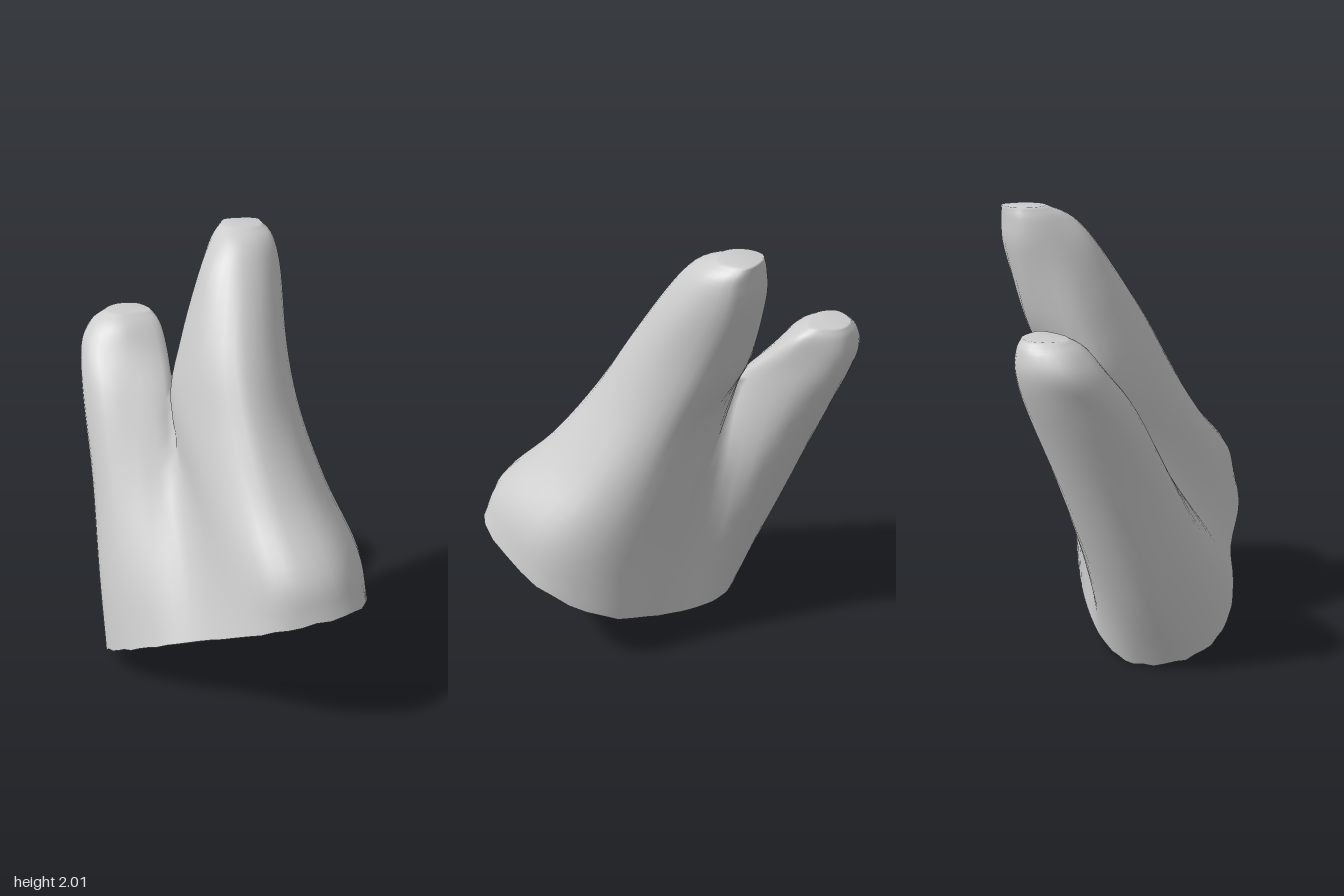
import * as THREE from 'three';
import { mergeVertices } from 'three/addons/utils/BufferGeometryUtils.js';

const SEG = 5;        // rows between two cross-sections
const COLS = 28;      // points around each lobe
const WALL = 0.035;   // thickness of the shell

// Section planes of the shared body: height and share of the rim's tilt
const BODY = [[0.158, 1], [0.5, 0.67], [0.88, 0.33]];
const FORK = BODY.length;   // section at which the body forks into two roots

// Cross-sections as x,z pairs. Body rows run from the front groove round the
// long root's side; root rows are closed loops starting at the fork.
const LONG = {
  tops: [1.22, 1.5, 1.8, 1.94, 2.0],
  rows: [
    [-.2, .47, -.01, .67, .2, .77, .45, .7, .6, .34, .5, .05, .25, -.11],
    [-.2, .29, -.04, .54, .15, .7, .4, .63, .565, .3, .48, .03, .22, -.15],
    [-.21, .03, -.1, .31, .1, .48, .32, .4, .45, .12, .38, -.1, .16, -.23],
    [-.2, -.27, -.16, .04, .05, .28, .25, .2, .355, -.02, .31, -.22, .1, -.31],
    [-.14, -.34, -.13, -.08, .03, .1, .2, .06, .31, -.12, .29, -.34, .08, -.45],
    [-.05, -.38, -.05, -.2, .07, -.1, .21, -.13, .31, -.28, .28, -.46, .07, -.515],
    [.01, -.42, .03, -.28, .1, -.22, .2, -.24, .285, -.34, .27, -.48, .09, -.52],
    [.06, -.44, .08, -.37, .13, -.34, .19, -.35, .235, -.4, .23, -.5, .1, -.51],
  ],
};
// Short root side: body rows from the back groove round to the front groove
const SHORT = {
  tops: [1.22, 1.4, 1.5, 1.55],
  rows: [
    [0, -.21, -.2, -.25, -.38, -.23, -.53, -.1, -.58, .06, -.51, .22, -.37, .35],
    [-.02, -.21, -.17, -.33, -.4, -.37, -.55, -.27, -.59, -.06, -.53, .08, -.38, .19],
    [-.06, -.25, -.16, -.44, -.38, -.54, -.55, -.46, -.59, -.27, -.54, -.12, -.39, -.04],
    [-.2, -.27, -.19, -.54, -.31, -.7, -.51, -.68, -.61, -.48, -.55, -.33, -.4, -.27],
    [-.21, -.44, -.22, -.62, -.3, -.75, -.46, -.765, -.59, -.64, -.56, -.48, -.39, -.41],
    [-.23, -.54, -.24, -.65, -.31, -.75, -.44, -.76, -.54, -.66, -.51, -.55, -.39, -.49],
    [-.27, -.6, -.27, -.66, -.32, -.73, -.41, -.73, -.47, -.66, -.45, -.6, -.39, -.57],
  ],
};

// x,z pairs to points on a plane of the given height and tilt
function toPoints(row, h, tilt) {
  const pts = [];
  for (let i = 0; i < row.length; i += 2) {
    const x = row[i], z = row[i + 1];
    pts.push(new THREE.Vector3(x, h + tilt * (0.174 * x + 0.449 * z), z));
  }
  return pts;
}

// Part of a smooth closed loop through the points
function sampleLoop(pts, from, to) {
  const curve = new THREE.CatmullRomCurve3(pts, true, 'catmullrom', 0.5);
  return Array.from({ length: COLS + 1 }, (_, i) =>
    curve.getPoint((from + (to - from) * i / COLS) % 1));
}

// Smooth grid of points [row][column] for one side of the body and its root
function lobeGrid(lobe, from) {
  const sections = lobe.rows.map((row, level) => {
    if (level >= FORK) return sampleLoop(toPoints(row, lobe.tops[level - FORK], 0), 0, 1);
    const whole = [...LONG.rows[level], ...SHORT.rows[level]];
    return sampleLoop(toPoints(whole, ...BODY[level]), from, from + 0.5);
  });
  const count = (sections.length - 1) * SEG;
  const columns = sections[0].map((_, c) =>
    new THREE.CatmullRomCurve3(sections.map(s => s[c]), false, 'catmullrom', 0.5));
  const grid = [];
  for (let r = 0; r <= count; r++) {
    const row = columns.map(c => c.getPoint(r / count));
    // close each root ring above the fork
    if (r >= FORK * SEG) row[0] = row[COLS] = row[0].clone().lerp(row[COLS], 0.5);
    grid.push(row);
  }
  // slightly uneven rim
  grid[0].forEach((p, i) => {
    p.y += 0.006 * Math.sin(Math.PI * i / COLS) * Math.sin(i * 2.3);
  });
  // close the tip
  const last = grid[count];
  const centre = last.reduce((s, p) => s.add(p), new THREE.Vector3()).divideScalar(last.length);
  grid.push(last.map(() => centre));
  return grid;
}

// Join grids of points into one smooth surface
function skin(grids) {
  const positions = [];
  const tri = (a, b, c) => {
    if (a.distanceTo(b) < 1e-4 || b.distanceTo(c) < 1e-4 || c.distanceTo(a) < 1e-4) return;
    for (const p of [a, b, c]) positions.push(p.x, p.y, p.z);
  };
  for (const g of grids) {
    for (let r = 0; r < g.length - 1; r++) {
      for (let c = 0; c < g[r].length - 1; c++) {
        tri(g[r][c], g[r][c + 1], g[r + 1][c + 1]);
        tri(g[r][c], g[r + 1][c + 1], g[r + 1][c]);
      }
    }
  }
  let geo = new THREE.BufferGeometry();
  geo.setAttribute('position', new THREE.Float32BufferAttribute(positions, 3));
  geo = mergeVertices(geo, 1e-4);
  geo.computeVertexNormals();
  return geo;
}

// The same surface moved inward by the wall thickness and facing inward
function lining(outer) {
  const geo = outer.clone();
  const pos = geo.attributes.position, normal = geo.attributes.normal;
  for (let i = 0; i < pos.count; i++) {
    const p = new THREE.Vector3().fromBufferAttribute(pos, i);
    p.addScaledVector(new THREE.Vector3().fromBufferAttribute(normal, i), -WALL);
    pos.setXYZ(i, p.x, Math.max(p.y, 0.005), p.z);
  }
  geo.setIndex(Array.from(outer.index.array).reverse());
  geo.computeVertexNormals();
  return geo;
}

// Strip that joins the open edges of the outer and inner surfaces
function edgeStrip(outer, inner) {
  const idx = outer.index.array, edges = new Map();
  for (let i = 0; i < idx.length; i++) {
    const a = idx[i], b = idx[i % 3 === 2 ? i - 2 : i + 1];
    if (!edges.delete(`${b},${a}`)) edges.set(`${a},${b}`, [a, b]);
  }
  const positions = [];
  const add = (geo, i) => positions.push(
    ...new THREE.Vector3().fromBufferAttribute(geo.attributes.position, i));
  for (const [a, b] of edges.values()) {
    add(outer, a); add(inner, a); add(inner, b);
    add(outer, a); add(inner, b); add(outer, b);
  }
  let geo = new THREE.BufferGeometry();
  geo.setAttribute('position', new THREE.Float32BufferAttribute(positions, 3));
  geo = mergeVertices(geo, 1e-4);
  geo.computeVertexNormals();
  return geo;
}

export function createModel() {
  const group = new THREE.Group();
  group.name = 'forkedRootShell';
  const grey = new THREE.MeshStandardMaterial({ color: 0xcccccc, side: THREE.DoubleSide });
  grey.name = 'lightGrey';

  const long = lobeGrid(LONG, 0);
  const short = lobeGrid(SHORT, 0.5);
  // share the groove lines below the fork so the two halves meet exactly
  for (let r = 0; r <= FORK * SEG; r++) {
    short[r][0] = long[r][COLS];
    short[r][COLS] = long[r][0];
  }
  const outer = skin([long, short]);
  const inner = lining(outer);
  const parts = { outerWall: outer, innerWall: inner, rimLip: edgeStrip(outer, inner) };
  for (const [name, geometry] of Object.entries(parts)) {
    const mesh = new THREE.Mesh(geometry, grey);
    mesh.name = name;
    group.add(mesh);
  }
  return group;
}
